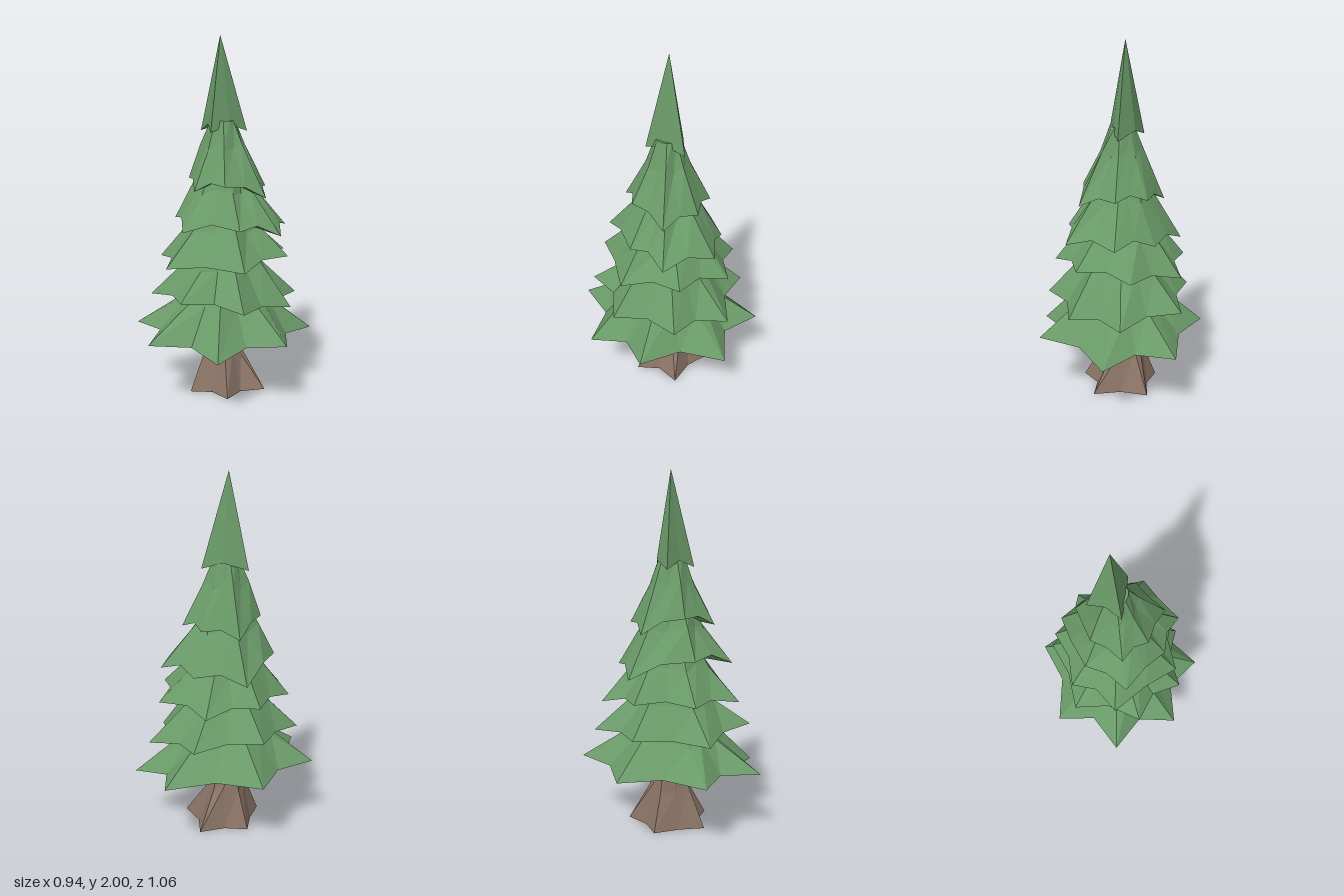
import * as THREE from 'three';

const green = new THREE.MeshStandardMaterial({ color: 0x6a9a68, flatShading: true });
const brown = new THREE.MeshStandardMaterial({ color: 0x8b7466, flatShading: true, side: THREE.DoubleSide });

// Skin a stack of equal-length rings of [x, y, z] points, listed bottom to top
function loft(name, rings, material) {
  const pos = [];
  const n = rings[0].length;
  const same = (a, b) => a.every((v, k) => Math.abs(v - b[k]) < 1e-6);
  const tri = (a, b, c) => {
    if (!same(a, b) && !same(b, c) && !same(a, c)) pos.push(...a, ...b, ...c);
  };
  for (let r = 0; r + 1 < rings.length; r++) {
    for (let i = 0; i < n; i++) {
      const j = (i + 1) % n;
      tri(rings[r][i], rings[r + 1][i], rings[r][j]);
      tri(rings[r][j], rings[r + 1][i], rings[r + 1][j]);
    }
  }
  const g = new THREE.BufferGeometry();
  g.setAttribute('position', new THREE.Float32BufferAttribute(pos, 3));
  g.computeVertexNormals();
  const mesh = new THREE.Mesh(g, material);
  mesh.name = name;
  return mesh;
}

// Star outline: the given tips with a notch between each pair
function star(tips, [cx, cz], notch, lift) {
  const ring = [];
  tips.forEach((a, i) => {
    const b = tips[(i + 1) % tips.length];
    const ax = a[0] - cx, az = a[2] - cz, bx = b[0] - cx, bz = b[2] - cz;
    const mx = ax + bx, mz = az + bz;
    const s = notch * (Math.hypot(ax, az) + Math.hypot(bx, bz)) / 2 / Math.hypot(mx, mz);
    ring.push(a, [cx + mx * s, (a[1] + b[1]) / 2 + lift, cz + mz * s]);
  });
  return ring;
}

// Ring at height y that follows an outline's directions; odd points are pulled in
const follow = (ring, [cx, cz], y, radius, odd = 1, wobble = 0) => ring.map(([x, , z], i) => {
  const k = radius * (i % 2 ? odd : 1) / (Math.hypot(x - cx, z - cz) || 1);
  return [cx + (x - cx) * k, y + wobble * Math.sin(i * 2.3), cz + (z - cz) * k];
});

// Branch layers, lowest first: tips [x, y, z], underside rise, shoulder and top as [y, radius]
const tiers = [
  { tips: [[-0.09, 0.36, -0.53], [0.29, 0.32, -0.41], [0.47, 0.36, 0.04], [0.29, 0.31, 0.39],
    [-0.09, 0.36, 0.53], [-0.42, 0.37, 0.31], [-0.47, 0.37, -0.17]],
    notch: 0.73, lift: 0.01, rise: 0.03, shoulder: [0.54, 0.26], top: [0.66, 0.17] },
  { tips: [[-0.19, 0.56, -0.41], [0.18, 0.52, -0.4], [0.36, 0.52, -0.13], [0.33, 0.55, 0.23],
    [0.06, 0.6, 0.43], [-0.31, 0.56, 0.3], [-0.41, 0.59, -0.1]],
    notch: 0.78, lift: 0.01, rise: 0.04, shoulder: [0.74, 0.24], top: [0.88, 0.15] },
  { tips: [[-0.22, 0.74, -0.35], [0.11, 0.77, -0.38], [0.32, 0.8, -0.15], [0.3, 0.76, 0.19],
    [-0.08, 0.76, 0.4], [-0.31, 0.77, 0.22], [-0.38, 0.78, -0.1]],
    notch: 0.8, lift: 0.02, rise: 0.06, shoulder: [0.95, 0.22], top: [1.08, 0.14] },
  { tips: [[-0.33, 0.9, -0.15], [-0.08, 0.93, -0.3], [0.17, 0.94, -0.31], [0.34, 0.93, -0.06],
    [0.23, 0.97, 0.15], [-0.01, 0.96, 0.34], [-0.22, 1.0, 0.19]],
    notch: 0.86, lift: 0.04, rise: 0.1, shoulder: [1.16, 0.18], top: [1.3, 0.11] },
  { tips: [[-0.24, 1.13, -0.11], [-0.07, 1.17, -0.23], [0.11, 1.17, -0.2], [0.25, 1.13, -0.04],
    [0.13, 1.2, 0.16], [-0.02, 1.17, 0.24], [-0.18, 1.22, 0.12]],
    notch: 0.85, lift: 0.03, rise: 0.08, shoulder: [1.4, 0.125], top: [1.54, 0.068] },
];

export function createModel() {
  const tree = new THREE.Group();
  tree.name = 'pineTree';

  // Hollow trunk flaring into five roots
  const tc = [-0.045, -0.01];
  const roots = star([[-0.07, 0, -0.25], [0.2, 0, -0.1], [0.14, 0, 0.15], [-0.09, 0, 0.21],
    [-0.24, 0, -0.04]], tc, 0.66, 0);
  tree.add(loft('trunk', [
    roots,
    follow(roots, tc, 0.22, 0.115, 0.82, 0.03),
    follow(roots, tc, 0.4, 0.075, 0.9),
  ], brown));

  // Jagged skirts of branches
  const c = [-0.03, 0];
  tiers.forEach((t, i) => {
    const outline = star(t.tips, c, t.notch, t.lift);
    tree.add(loft('branchTier' + (i + 1), [
      follow(outline, c, t.tips[0][1] + t.rise, 0),
      outline,
      follow(outline, c, t.shoulder[0], t.shoulder[1], 0.85, 0.02),
      follow(outline, c, t.top[0], t.top[1]),
      follow(outline, c, t.top[0], 0),
    ], green));
  });

  // Pointed crown
  const cc = [-0.05, 0];
  const crown = star([[0.05, 1.48, -0.11], [-0.01, 1.48, 0.12], [-0.18, 1.48, 0.02]], cc, 0.55, 0.04);
  tree.add(loft('crown', [
    follow(crown, cc, 1.54, 0),
    crown,
    follow(crown, cc, 2, 0),
  ], green));

  return tree;
}
